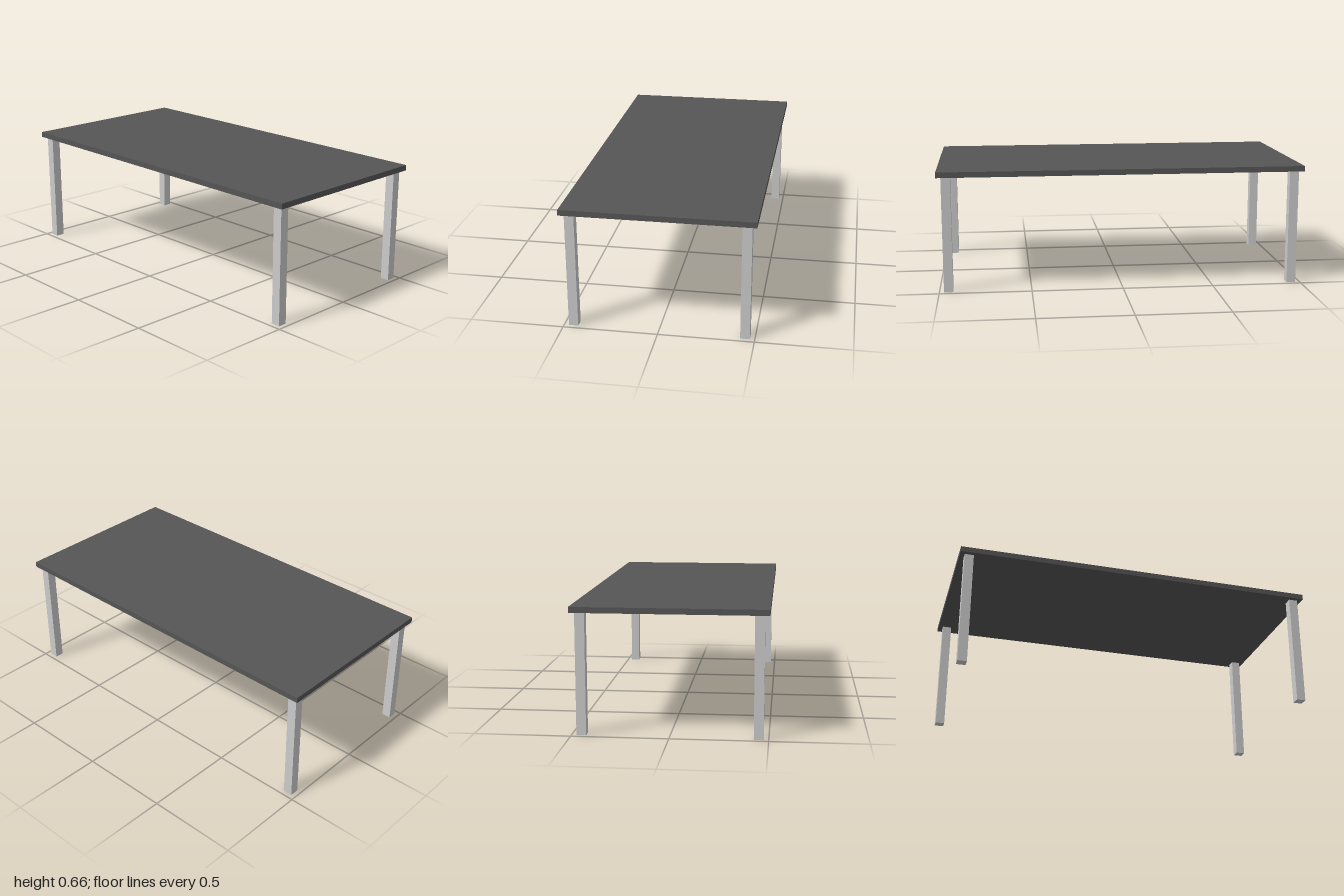
import * as THREE from 'three';

const TOP_THICKNESS = 0.03;
const LEG_HEIGHT = 0.632;
const LEG_WIDTH = 0.05;

export function createModel() {
  const table = new THREE.Group();
  table.name = 'table';

  const topMaterial = new THREE.MeshStandardMaterial({ color: 0x555555 });
  const legMaterial = new THREE.MeshStandardMaterial({ color: 0xcccccc });

  // Flat rectangular top
  const top = new THREE.Mesh(new THREE.BoxGeometry(2, TOP_THICKNESS, 1), topMaterial);
  top.name = 'tableTop';
  top.position.y = LEG_HEIGHT + TOP_THICKNESS / 2;
  table.add(top);

  // Four square legs, set in slightly from the corners
  const legGeometry = new THREE.BoxGeometry(LEG_WIDTH, LEG_HEIGHT, LEG_WIDTH);
  for (const [sideName, x] of [['Left', 0.95], ['Right', -0.95]]) {
    for (const [endName, z] of [['front', 0.45], ['back', -0.45]]) {
      const leg = new THREE.Mesh(legGeometry, legMaterial);
      leg.name = `${endName}${sideName}Leg`;
      leg.position.set(x, LEG_HEIGHT / 2, z);
      table.add(leg);
    }
  }

  return table;
}
